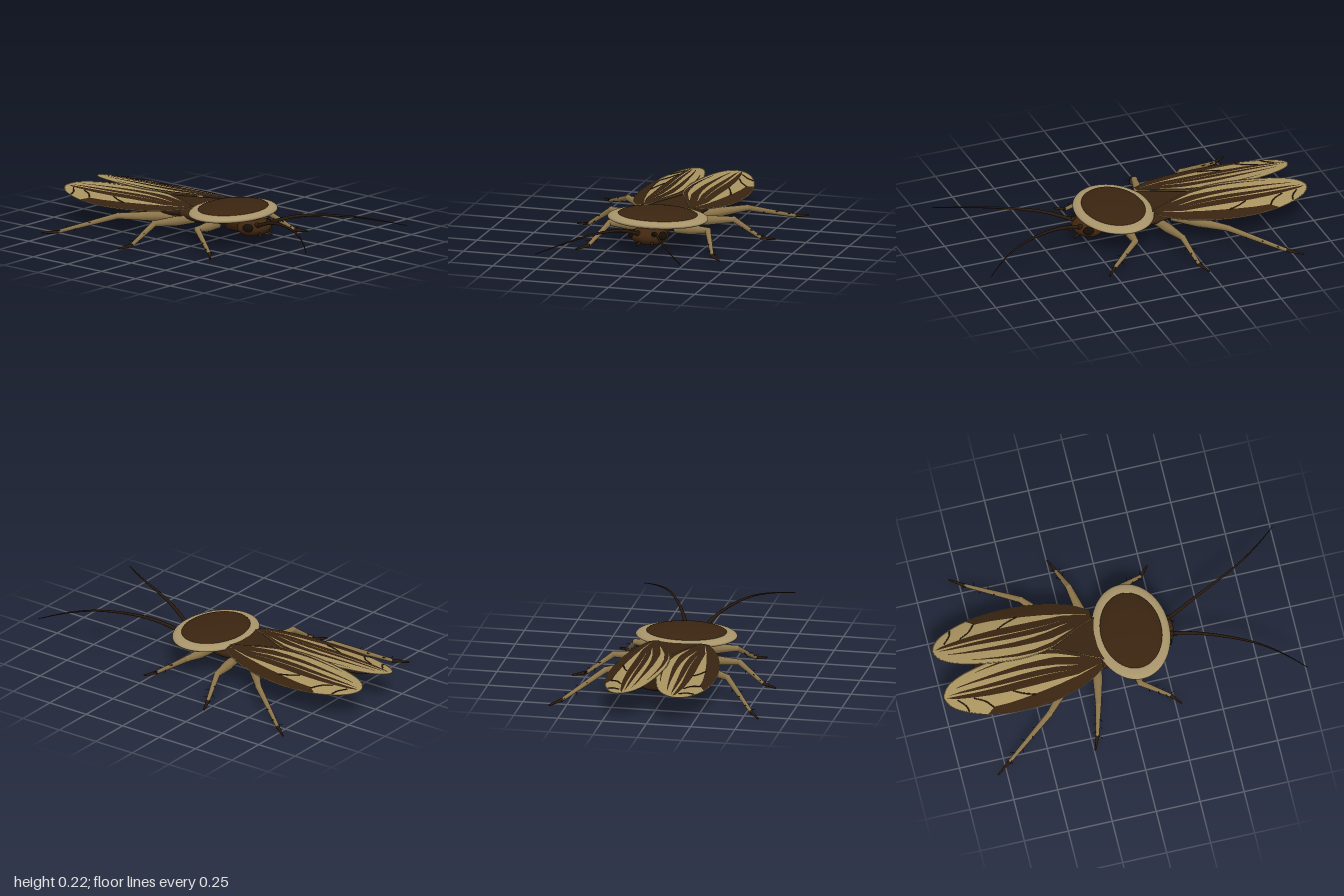
import * as THREE from 'three';

const mat = (name, color, side = THREE.FrontSide) => {
  const m = new THREE.MeshStandardMaterial({ color, side });
  m.name = name;
  return m;
};
const V = (x, y, z) => new THREE.Vector3(x, y, z);

// Linear lookup in rows of [z, a, b], z falling
function lookup(rows, z) {
  let i = 0;
  while (i < rows.length - 2 && z < rows[i + 1][0]) i++;
  const [p, q] = [rows[i], rows[i + 1]];
  const k = THREE.MathUtils.clamp((z - p[0]) / (q[0] - p[0]), 0, 1);
  return [p[1] + (q[1] - p[1]) * k, p[2] + (q[2] - p[2]) * k];
}

// Wing outline: z, inner edge x, outer edge x
const OUTLINE = [[-0.1, 0.12, 0.17], [-0.17, 0.09, 0.215], [-0.25, 0.05, 0.25], [-0.35, 0.005, 0.277],
  [-0.45, -0.015, 0.293], [-0.55, -0.02, 0.3], [-0.65, -0.012, 0.298], [-0.75, 0.003, 0.286],
  [-0.83, 0.02, 0.267], [-0.9, 0.042, 0.24], [-0.95, 0.067, 0.213], [-0.98, 0.092, 0.186], [-1, 0.13, 0.15]];

// Dark wing bands: z, start and end as fractions of the wing width
const BANDS = [
  [[-0.1, 0.5, 1], [-0.22, 0.66, 1], [-0.35, 0.74, 1], [-0.55, 0.8, 1], [-0.74, 0.86, 1], [-0.78, 0.99, 1]],
  [[-0.1, 0.3, 0.5], [-0.25, 0.5, 0.64], [-0.6, 0.51, 0.64], [-0.95, 0.53, 0.62], [-0.985, 0.55, 0.57]],
  [[-0.1, 0.1, 0.4], [-0.25, 0.38, 0.5], [-0.6, 0.4, 0.49], [-0.9, 0.42, 0.47], [-0.97, 0.44, 0.45]],
  [[-0.1, 0, 0.3], [-0.25, 0.14, 0.36], [-0.45, 0.22, 0.33], [-0.7, 0.25, 0.31], [-0.92, 0.27, 0.29]],
  [[-0.1, 0, 0.12], [-0.25, 0, 0.1], [-0.4, 0.02, 0.1], [-0.6, 0.06, 0.1], [-0.8, 0.09, 0.1]],
];
const VEINS = [
  [[-0.5, 0.8], [-0.57, 0.72], [-0.62, 0.64]],
  [[-0.74, 0.88], [-0.78, 0.74], [-0.84, 0.64]],
  [[-0.88, 0.98], [-0.89, 0.84], [-0.93, 0.66]],
];

function wingPoint(side, z, t, lift) {
  const [a, b] = lookup(OUTLINE, z);
  const x = a + (b - a) * t, s = (-0.1 - z) / 0.9;
  const y = 0.2 - 0.05 * (x / 0.3) ** 2 - 0.018 * s * s + (side > 0 ? 0.003 : 0);
  return V(side * x, y + lift, z);
}

// Curved strip of wing between two width fractions
function wingStrip(side, rows, lift, across) {
  const N = 48, z0 = rows[0][0], z1 = rows[rows.length - 1][0];
  const pos = [], idx = [];
  for (let i = 0; i <= N; i++) {
    const z = z0 + (z1 - z0) * Math.sin((i / N) * Math.PI / 2);
    const [a, b] = lookup(rows, z);
    for (let j = 0; j <= across; j++) {
      pos.push(...wingPoint(side, z, a + (b - a) * j / across, lift).toArray());
      if (i === N || j === across) continue;
      const p = i * (across + 1) + j, q = p + across + 1;
      if (side > 0) idx.push(p, p + 1, q, p + 1, q + 1, q);
      else idx.push(p, q, p + 1, p + 1, q, q + 1);
    }
  }
  const g = new THREE.BufferGeometry();
  g.setAttribute('position', new THREE.Float32BufferAttribute(pos, 3));
  g.setIndex(idx);
  g.computeVertexNormals();
  return g;
}

// Tube along a smooth curve, thinning from r0 to r1
function taperTube(points, r0, r1, seg = 40, sides = 8) {
  const curve = new THREE.CatmullRomCurve3(points);
  const g = new THREE.TubeGeometry(curve, seg, 1, sides);
  const p = g.attributes.position, v = V(0, 0, 0);
  for (let i = 0; i < p.count; i++) {
    const u = Math.floor(i / (sides + 1)) / seg, c = curve.getPointAt(u);
    v.fromBufferAttribute(p, i).sub(c).multiplyScalar(r0 + (r1 - r0) * u).add(c);
    p.setXYZ(i, v.x, v.y, v.z);
  }
  return g;
}

export function createModel() {
  const root = new THREE.Group();
  root.name = 'cockroach';
  const shell = mat('dark brown shell', 0x3a2410);
  const headMat = mat('head brown', 0x40260f);
  const belly = mat('belly brown', 0x2c1a0b);
  const tan = mat('tan rim', 0xa8946a);
  const wingTan = mat('wing tan', 0xa8925f, THREE.DoubleSide);
  const wingDark = mat('wing brown', 0x382310, THREE.DoubleSide);
  const legTan = mat('leg tan', 0x8a7349);
  const dark = mat('feeler brown', 0x2a1a0c);
  const eyeMat = mat('eye black', 0x140d07);

  const add = (parent, name, geo, m) => {
    const mesh = new THREE.Mesh(geo, m);
    mesh.name = name;
    parent.add(mesh);
    return mesh;
  };
  const ball = (parent, name, c, r, m) => {
    const b = add(parent, name, new THREE.SphereGeometry(1, 32, 20), m);
    b.position.set(...c);
    b.scale.set(...r);
    return b;
  };
  const limb = (parent, name, a, b, r0, r1, m, sides = 10) => {
    const d = b.clone().sub(a);
    const mesh = add(parent, name, new THREE.CylinderGeometry(r1, r0, d.length(), sides), m);
    mesh.position.copy(a).addScaledVector(d, 0.5);
    mesh.quaternion.setFromUnitVectors(V(0, 1, 0), d.normalize());
    return mesh;
  };

  // Neck shield: tan rim and dark dome
  const lathe = (name, pts, m) => {
    const g = new THREE.LatheGeometry(new THREE.SplineCurve(pts.map(p => new THREE.Vector2(...p))).getPoints(24), 64);
    const mesh = add(root, name, g, m);
    mesh.position.z = 0.095;
    mesh.scale.z = 0.755;
  };
  lathe('shieldRim', [[0.001, 0.165], [0.16, 0.157], [0.25, 0.16], [0.284, 0.174], [0.27, 0.19], [0.235, 0.197], [0.2, 0.196]], tan);
  lathe('shieldDome', [[0.226, 0.192], [0.218, 0.203], [0.17, 0.216], [0.09, 0.225], [0.001, 0.228]], shell);

  // Body
  ball(root, 'thorax', [0, 0.142, -0.06], [0.165, 0.05, 0.23], shell);
  ball(root, 'abdomen', [0, 0.142, -0.42], [0.185, 0.045, 0.38], belly);
  const tri = new THREE.Shape([[-0.14, 0.06], [0.14, 0.06], [0, 0.37]].map(p => new THREE.Vector2(...p)));
  const plate = add(root, 'backPlate', new THREE.ShapeGeometry(tri), wingDark);
  plate.rotation.x = -Math.PI / 2;
  plate.position.y = 0.19;

  // Head
  ball(root, 'head', [0, 0.112, 0.25], [0.11, 0.05, 0.085], headMat);
  limb(root, 'neck', V(0, 0.125, 0.22), V(0, 0.145, 0.1), 0.06, 0.08, headMat, 20);

  for (const side of [1, -1]) {
    const label = side > 0 ? 'left' : 'right';
    const P = (x, y, z) => V(side * x, y, z);

    // Eyes, mouth feelers, antennae, tail feelers
    ball(root, label + 'Eye', [side * 0.085, 0.122, 0.275], [0.026, 0.024, 0.034], eyeMat);
    limb(root, label + 'MouthFeeler', P(0.035, 0.09, 0.31), P(0.042, 0.073, 0.345), 0.01, 0.005, dark, 8);
    ball(root, label + 'AntennaBase', [side * 0.048, 0.138, 0.315], [0.015, 0.015, 0.018], dark);
    add(root, label + 'Antenna', taperTube([P(0.045, 0.132, 0.31), P(0.06, 0.152, 0.36), P(0.1, 0.185, 0.46),
      P(0.16, 0.205, 0.6), P(0.24, 0.206, 0.76), P(0.33, 0.188, 0.89), P(0.425, 0.16, 1)], 0.011, 0.002), dark);
    add(root, label + 'TailFeeler', taperTube([P(0.06, 0.142, -0.72), P(0.085, 0.148, -0.81), P(0.1, 0.157, -0.9)], 0.014, 0.003, 10), dark);

    // Wing with dark bands and veins
    const wing = new THREE.Group();
    wing.name = label + 'Wing';
    root.add(wing);
    add(wing, 'wingSheet', wingStrip(side, [[-0.1, 0, 1], [-1, 0, 1]], 0, 12), wingTan);
    for (const rows of BANDS) add(wing, 'wingBand', wingStrip(side, rows, 0.002, 4), wingDark);
    for (const v of VEINS)
      add(wing, 'wingVein', taperTube(v.map(([z, t]) => wingPoint(side, z, t, 0.001)), 0.004, 0.003, 10, 6), wingDark);
    const edge = t => OUTLINE.map(([z]) => wingPoint(side, z, t, 0));
    add(wing, 'wingEdge', taperTube([...edge(1), ...edge(0).reverse()], 0.0025, 0.0025, 80, 5), wingTan);

    // Legs: hip, knee, ankle, toe
    const legs = {
      Front: [[0.09, 0.11, 0.06], [0.285, 0.12, 0.08], [0.36, 0.022, 0.235], [0.415, 0.01, 0.285]],
      Middle: [[0.09, 0.11, -0.12], [0.355, 0.125, -0.175], [0.5, 0.022, -0.215], [0.575, 0.011, -0.245]],
      Hind: [[0.09, 0.11, -0.22], [0.345, 0.122, -0.45], [0.535, 0.022, -0.725], [0.59, 0.011, -0.8]],
    };
    for (const [name, pts] of Object.entries(legs)) {
      const leg = new THREE.Group();
      leg.name = label + name + 'Leg';
      root.add(leg);
      const [hip, knee, ankle, toe] = pts.map(p => P(...p));
      const mid = hip.clone().lerp(knee, 0.45);
      limb(leg, 'hip', hip, mid, 0.024, 0.028, legTan);
      limb(leg, 'thigh', mid, knee, 0.028, 0.017, legTan);
      ball(leg, 'knee', knee.toArray(), [0.018, 0.018, 0.018], legTan);
      limb(leg, 'shin', knee, ankle, 0.017, 0.01, legTan);
      limb(leg, 'foot', ankle, toe, 0.01, 0.005, dark, 8);
      ball(leg, 'ankle', ankle.toArray(), [0.011, 0.011, 0.011], dark);

      // Shin spines on alternating sides
      const dir = ankle.clone().sub(knee).normalize();
      const across = V(0, 1, 0).cross(dir).normalize();
      const up = dir.clone().cross(across).normalize();
      for (let i = 0; i < 6; i++) {
        const a = knee.clone().lerp(ankle, 0.3 + i * 0.13);
        const out = across.clone().multiplyScalar(i % 2 ? 1 : -1).addScaledVector(up, i % 3 ? 0.6 : -0.6).addScaledVector(dir, 0.6);
        limb(leg, 'spine', a, a.clone().addScaledVector(out.normalize(), 0.037), 0.004, 0.0005, dark, 5);
      }
    }
  }
  return root;
}
